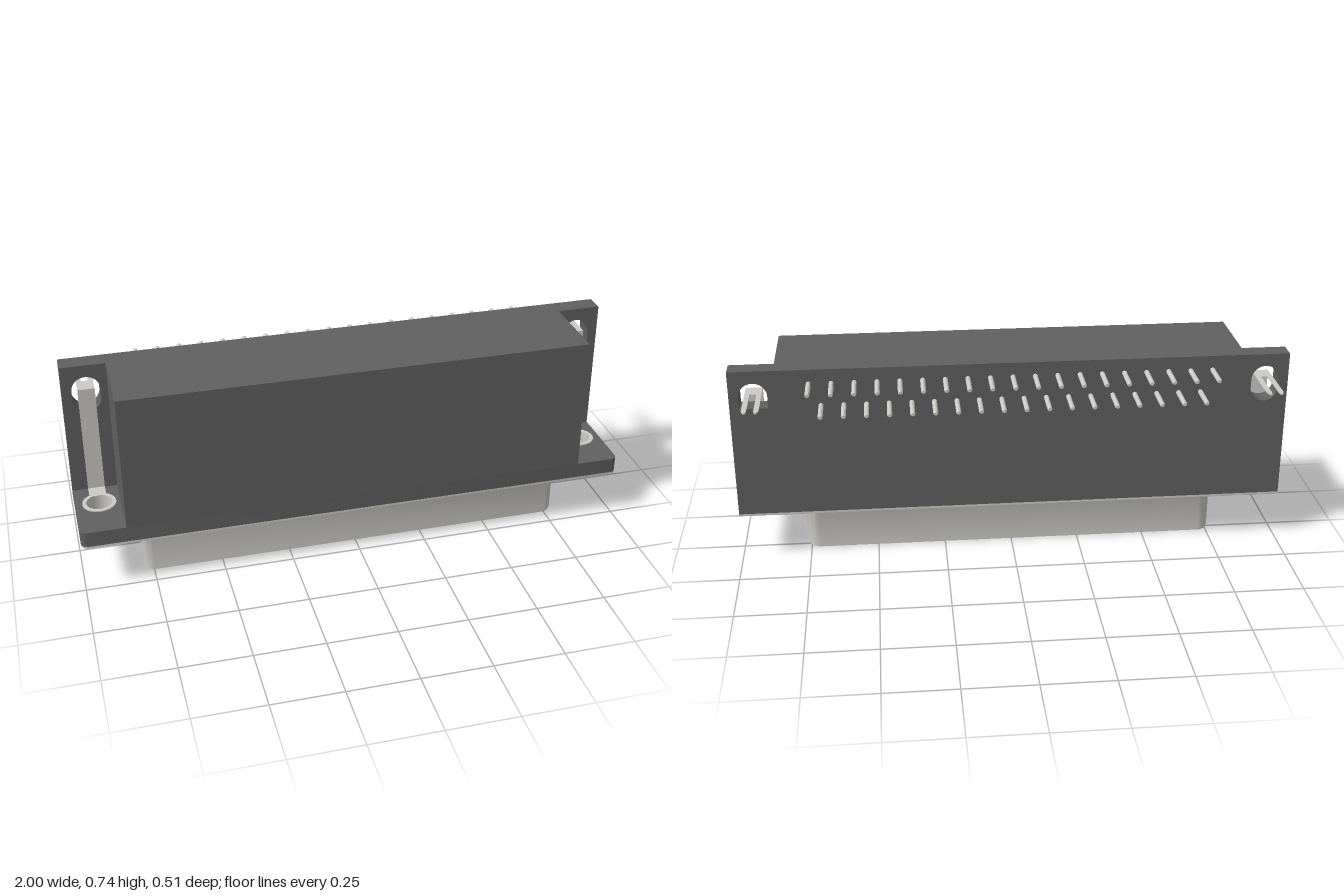
import * as THREE from 'three';
import { toCreasedNormals } from 'three/addons/utils/BufferGeometryUtils.js';

const plastic = new THREE.MeshStandardMaterial({ color: 0x606060 });
const metal = new THREE.MeshStandardMaterial({ color: 0xcccbc6 });
const metalTwoSided = new THREE.MeshStandardMaterial({ color: 0xcccbc6, side: THREE.DoubleSide });

const HOLE_X = 0.915, HOLE_Z = 0.075, HOLE_R = 0.048;
const BACK = -0.1, WALL = -0.03, FRONT = 0.257, TOP = 0.74, FLANGE_TOP = 0.243;

export function createModel() {
  const group = new THREE.Group();

  function add(name, geometry, material, x = 0, y = 0, z = 0) {
    const mesh = new THREE.Mesh(geometry, material);
    mesh.name = name;
    mesh.position.set(x, y, z);
    group.add(mesh);
    return mesh;
  }
  // box given by its limits
  const box = (name, mat, x0, x1, y0, y1, z0, z1) =>
    add(name, new THREE.BoxGeometry(x1 - x0, y1 - y0, z1 - z0), mat,
      (x0 + x1) / 2, (y0 + y1) / 2, (z0 + z1) / 2);
  const circle = (x, y, r) => new THREE.Path().absarc(x, y, r, 0, Math.PI * 2, true);
  // slab drawn in plan (x, z) and extruded between two heights
  function slab(shape, y0, y1, curveSegments = 16) {
    const g = new THREE.ExtrudeGeometry(shape, { depth: y1 - y0, bevelEnabled: false, curveSegments });
    g.rotateX(Math.PI / 2).translate(0, y1, 0);
    return toCreasedNormals(g, 0.6);
  }

  // flange outline: rounded front corners and two screw holes
  function flangeShape() {
    const s = new THREE.Shape(), r = 0.025;
    s.moveTo(-1, BACK);
    s.lineTo(1, BACK);
    s.lineTo(1, FRONT - r);
    s.absarc(1 - r, FRONT - r, r, 0, Math.PI / 2, false);
    s.absarc(-1 + r, FRONT - r, r, Math.PI / 2, Math.PI, false);
    s.closePath();
    for (const side of [-1, 1]) s.holes.push(circle(side * HOLE_X, HOLE_Z, HOLE_R));
    return s;
  }
  add('flange', slab(flangeShape(), 0.186, FLANGE_TOP), plastic);
  add('faceplate', slab(flangeShape(), 0.178, 0.186), metal);

  // housing
  box('housing', plastic, -0.84, 0.84, FLANGE_TOP, TOP, WALL, FRONT);

  // back wall with an arched slot at each end; one slot is rounded below
  const wall = new THREE.Shape();
  wall.moveTo(-1, FLANGE_TOP);
  wall.lineTo(1, FLANGE_TOP);
  wall.lineTo(1, TOP);
  wall.lineTo(-1, TOP);
  wall.closePath();
  for (const side of [-1, 1]) {
    const slot = new THREE.Path(), x = side * HOLE_X, r = 0.05;
    slot.absarc(x, 0.645, r, 0, Math.PI, false);
    if (side < 0) slot.absarc(x, 0.61, r, Math.PI, Math.PI * 2, false);
    else {
      slot.lineTo(x - r, 0.6);
      slot.lineTo(x + r, 0.6);
    }
    slot.closePath();
    wall.holes.push(slot);
  }
  const wallGeo = new THREE.ExtrudeGeometry(wall, { depth: WALL - BACK, bevelEnabled: false, curveSegments: 16 });
  add('backWall', toCreasedNormals(wallGeo, 0.6), plastic, 0, 0, BACK);

  // D-shaped outline, wider at the front, grown by an offset
  function dOutline(offset) {
    const r = 0.045 + offset, slant = Math.PI / 18, steps = 8, half = [];
    const arc = (cx, cz, a0, a1) => {
      for (let i = 0; i <= steps; i++) {
        const a = a0 + (a1 - a0) * i / steps;
        half.push([cx + r * Math.cos(a), cz + r * Math.sin(a)]);
      }
    };
    arc(0.716, 0.01, -Math.PI / 2, -slant);
    arc(0.74, 0.145, -slant, Math.PI / 2);
    return [...half, ...half.map(([x, z]) => [-x, z]).reverse()];
  }

  // shell wall lofted through outlines [height, offset]
  const rings = [[0.178, 0.016], [0.174, 0.009], [0.169, 0.003], [0.161, 0], [0.011, 0], [0.009, -0.004], [0.001, -0.004], [0, -0.006]];
  const pos = [], index = [];
  rings.forEach(([y, o]) => dOutline(o).forEach(([x, z]) => pos.push(x, y, z)));
  const n = dOutline(0).length;
  for (let k = 0; k < rings.length - 1; k++) {
    for (let i = 0; i < n; i++) {
      const a = k * n + i, b = k * n + (i + 1) % n;
      index.push(a, b, a + n, b, b + n, a + n);
    }
  }
  const shell = new THREE.BufferGeometry();
  shell.setAttribute('position', new THREE.Float32BufferAttribute(pos, 3));
  shell.setIndex(index);
  add('shell', toCreasedNormals(shell, 0.7), metalTwoSided);

  // contact positions: 19 in the first row, 18 in the second
  const contacts = [];
  for (let i = 0; i < 37; i++) contacts.push({ x: -0.72 + i * 0.04, long: i % 2 === 0 });

  // mating face with sockets
  const face = new THREE.Shape(dOutline(-0.006).map(([x, z]) => new THREE.Vector2(x, z)));
  for (const c of contacts) face.holes.push(circle(c.x, c.long ? 0.119 : 0.037, 0.013));
  add('matingFace', slab(face, 0, 0.02, 6), metal);
  const socketGeo = new THREE.CircleGeometry(0.013, 12).rotateX(Math.PI / 2);
  for (const c of contacts) add('socketFloor', socketGeo, metal, c.x, 0.0195, c.long ? 0.119 : 0.037);

  // solder pins with a slightly rounded tip
  const pinGeo = toCreasedNormals(new THREE.LatheGeometry(
    [[0.009, 0], [0.009, 0.121], [0.006, 0.125], [0, 0.125]].map(([x, y]) => new THREE.Vector2(x, y)), 12), 0.6)
    .rotateX(-Math.PI / 2);
  for (const c of contacts) add('solderPin', pinGeo, metal, c.x, c.long ? 0.687 : 0.604, -0.088);

  // grounding straps: ring, foot, upright and forked tail
  const t = 0.004;
  for (const side of [-1, 1]) {
    const x = side * HOLE_X, w = 0.03;
    const ring = new THREE.Shape().absarc(x, HOLE_Z, 0.06, 0, Math.PI * 2, false);
    ring.holes.push(circle(x, HOLE_Z, HOLE_R - 0.002));
    add('strapRing', slab(ring, FLANGE_TOP, FLANGE_TOP + t, 24), metal);
    add('holeLining', new THREE.CylinderGeometry(HOLE_R - 0.001, HOLE_R - 0.001, FLANGE_TOP - 0.178, 32, 1, true),
      metalTwoSided, x, (FLANGE_TOP + 0.178) / 2, HOLE_Z);
    box('strapFoot', metal, x - w, x + w, FLANGE_TOP, FLANGE_TOP + t, WALL, 0.032);
    box('strapUpright', metal, x - w, x + w, FLANGE_TOP, 0.65, WALL, WALL + t + 0.001);
    // tail with two pointed prongs
    const tail = new THREE.Shape([
      [-w, WALL + t], [w, WALL + t], [w, -0.235], [0.023, -0.257], [0.015, -0.257], [0.012, -0.235], [0.012, -0.09],
      [-0.012, -0.09], [-0.012, -0.235], [-0.015, -0.257], [-0.023, -0.257], [-w, -0.235],
    ].map(([px, pz]) => new THREE.Vector2(x + px, pz)));
    add('strapTail', slab(tail, 0.646, 0.65), metal);
  }

  return group;
}
